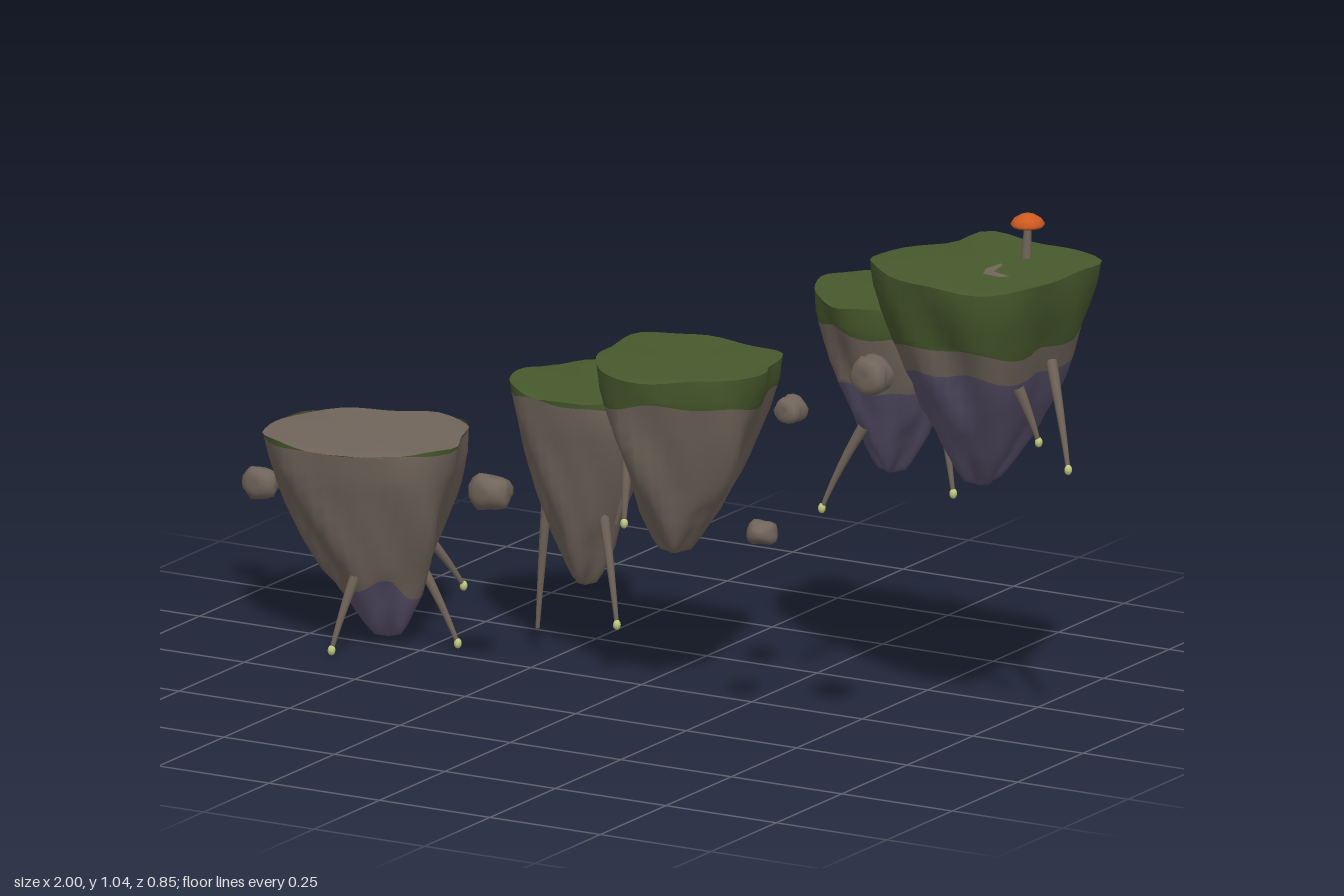
import * as THREE from 'three';
import { mergeVertices } from 'three/addons/utils/BufferGeometryUtils.js';

const mat = (name, color, side = THREE.FrontSide) => {
  const m = new THREE.MeshStandardMaterial({ color, side });
  m.name = name;
  return m;
};
const grass = mat('grass', 0x47592d);
const stone = mat('stone', 0x71655b);
const deepStone = mat('deepStone', 0x575069);
const root = mat('root', 0x6e6257);
const bud = mat('bud', 0xbfca80);
const orange = mat('orangeCap', 0xcc5a20);

function addMesh(parent, name, geometry, material, position) {
  const mesh = new THREE.Mesh(geometry, material);
  mesh.name = name;
  if (position) mesh.position.set(...position);
  parent.add(mesh);
  return mesh;
}

const SIDES = 44;
const PROFILE = [[0, 1], [0.1, 0.98], [0.25, 0.88], [0.4, 0.77], [0.5, 0.69], [0.65, 0.55],
  [0.78, 0.41], [0.9, 0.26], [0.96, 0.16], [1, 0.05]];
function profileAt(t) {
  const k = Math.max(1, PROFILE.findIndex(p => p[0] >= t));
  const [t0, r0] = PROFILE[k - 1], [t1, r1] = PROFILE[k];
  return r0 + (r1 - r0) * (t - t0) / (t1 - t0);
}

// Floating island: outline shrinking down to a tip, with wavy colour bands
function makeIsland({ outline, top, tip, grassTo, stoneTo, topMaterial, seed }) {
  const group = new THREE.Group();
  group.name = 'island';
  const curve = new THREE.CatmullRomCurve3(outline.map(([x, z]) => new THREE.Vector3(x, 0, z)), true);
  const rim = curve.getSpacedPoints(SIDES).slice(0, SIDES);
  const centre = rim.reduce((s, p) => s.add(p), new THREE.Vector3()).divideScalar(SIDES);
  const height = top - tip[1];
  const g = (top - grassTo) / height, s = (top - stoneTo) / height;
  const bands = [g, s].filter(t => t < 1);
  const levels = [0, 0.05, 0.12, 0.2, 0.28, 0.36, 0.44, 0.52, 0.6, 0.68, 0.76, 0.84, 0.9, 0.95, 1]
    .filter(t => t === 0 || t === 1 || bands.every(b => Math.abs(b - t) > 0.04))
    .concat(bands).sort((a, b) => a - b);

  const pos = [], index = [];
  const geometry = new THREE.BufferGeometry();
  levels.forEach((t, row) => {
    rim.forEach((p, i) => {
      const a = i / SIDES * Math.PI * 2;
      const wave = Math.sin(3 * a + seed * 2) + 0.7 * Math.sin(7 * a + seed * 5);
      const wobble = bands.includes(t) ? wave * Math.min(0.018, t * 0.3) : 0;
      const tt = t + wobble;
      const bump = Math.sin(Math.PI * Math.min(1, t)) *
        (0.06 * Math.sin(5 * a + seed + t * 5) + 0.04 * Math.sin(9 * a - seed * 3 + t * 9));
      const r = profileAt(tt) * (1 + bump);
      const slide = tt * tt;
      const ragged = t > 0.7 && t < 1 ? 0.014 * Math.sin(4 * a + seed * 3) : 0;
      pos.push(centre.x + (tip[0] - centre.x) * slide + (p.x - centre.x) * r,
        top - tt * height + ragged + (row ? 0 : 0.003 * wave - 0.004),
        centre.z + (tip[2] - centre.z) * slide + (p.z - centre.z) * r);
    });
  });
  for (let row = 0; row < levels.length - 1; row++) {
    const mid = (levels[row] + levels[row + 1]) / 2;
    geometry.addGroup(index.length, SIDES * 6, mid < g ? 0 : mid < s ? 1 : 2);
    for (let i = 0; i < SIDES; i++) {
      const j = (i + 1) % SIDES, a = row * SIDES, b = a + SIDES;
      index.push(a + i, a + j, b + j, a + i, b + j, b + i);
    }
  }
  // pointed underside
  const last = (levels.length - 1) * SIDES;
  geometry.addGroup(index.length, SIDES * 3, s < 1 ? 2 : 1);
  pos.push(tip[0], tip[1] - 0.003, tip[2]);
  for (let i = 0; i < SIDES; i++) index.push(last + i, last + (i + 1) % SIDES, last + SIDES);
  geometry.setAttribute('position', new THREE.Float32BufferAttribute(pos, 3));
  geometry.setIndex(index);
  geometry.computeVertexNormals();
  addMesh(group, 'islandSides', geometry, [grass, stone, deepStone]);

  // ground surface, sharing the rim line
  const cap = new THREE.BufferGeometry();
  const capPos = pos.slice(0, SIDES * 3), capIndex = [];
  for (let i = 0; i < SIDES; i++) {
    capPos.push(centre.x + (pos[i * 3] - centre.x) * 0.85, top - 0.002, centre.z + (pos[i * 3 + 2] - centre.z) * 0.85);
  }
  capPos.push(centre.x, top - 0.003, centre.z);
  for (let i = 0; i < SIDES; i++) {
    const j = (i + 1) % SIDES;
    capIndex.push(i, SIDES + i, j, j, SIDES + i, SIDES + j, SIDES * 2, SIDES + j, SIDES + i);
  }
  cap.setAttribute('position', new THREE.Float32BufferAttribute(capPos, 3));
  cap.setIndex(capIndex);
  cap.computeVertexNormals();
  addMesh(group, 'islandTop', cap, topMaterial);
  return group;
}

// Hanging root: tapered bent tube with a bud at its tip
function makeRoot([sx, sy, sz], [ex, ey, ez], withBud = true) {
  const group = new THREE.Group();
  group.name = 'hangingRoot';
  const curve = new THREE.QuadraticBezierCurve3(new THREE.Vector3(sx, sy, sz),
    new THREE.Vector3(sx + (ex - sx) * 0.6, (sy + ey) / 2, sz + (ez - sz) * 0.6), new THREE.Vector3(ex, ey, ez));
  const steps = 12, around = 8;
  const tube = new THREE.TubeGeometry(curve, steps, 0.012, around);
  const p = tube.attributes.position, v = new THREE.Vector3();
  for (let i = 0; i < p.count; i++) {
    const u = Math.floor(i / (around + 1)) / steps;
    const c = curve.getPointAt(u);
    v.fromBufferAttribute(p, i).sub(c).multiplyScalar(1 - 0.65 * u).add(c);
    p.setXYZ(i, v.x, v.y, v.z);
  }
  addMesh(group, 'rootStrand', tube, root);
  if (withBud) addMesh(group, 'rootBud', new THREE.SphereGeometry(0.008, 8, 6), bud, [ex, ey, ez]).scale.y = 1.3;
  return group;
}

// Loose rock: a ball flattened and dented by waves
function makeRock([x, y, z], [rx, ry, rz], seed) {
  const raw = new THREE.IcosahedronGeometry(1, 2);
  raw.deleteAttribute('normal');
  raw.deleteAttribute('uv');
  const geometry = mergeVertices(raw, 1e-4);
  const p = geometry.attributes.position, v = new THREE.Vector3();
  for (let i = 0; i < p.count; i++) {
    v.fromBufferAttribute(p, i);
    const k = 0.97 + 0.1 * Math.sin(4 * v.x + seed) * Math.cos(3 * v.y - seed) + 0.09 * Math.sin(5 * v.z + seed * 2);
    const box = 0.85 / Math.max(Math.abs(v.x), Math.abs(v.y), Math.abs(v.z), 0.75);
    v.multiplyScalar(k * Math.min(1, box));
    p.setXYZ(i, v.x * rx, v.y * ry, v.z * rz);
  }
  geometry.computeVertexNormals();
  const rock = new THREE.Mesh(geometry, stone);
  rock.name = 'floatingRock';
  rock.position.set(x, y, z);
  return rock;
}

export function createModel() {
  const model = new THREE.Group();
  model.name = 'floatingIslands';

  // Five islands rising to the left
  [
    { outline: [[-0.66, -0.18], [-0.58, -0.21], [-0.5, -0.18], [-0.45, -0.07], [-0.42, 0.02], [-0.55, 0.15],
      [-0.72, 0.15], [-0.81, 0.08], [-0.81, -0.1]], top: 0.43, tip: [-0.59, 0.02, -0.03], grassTo: 0.423, stoneTo: 0.13, topMaterial: stone },
    { outline: [[-0.35, -0.21], [-0.27, -0.3], [-0.155, -0.31], [-0.11, -0.24], [-0.055, -0.13], [-0.1, -0.01],
      [-0.21, 0.01], [-0.315, -0.04], [-0.365, -0.13]], top: 0.56, tip: [-0.21, 0.15, -0.14], grassTo: 0.545, stoneTo: 0, topMaterial: grass },
    { outline: [[-0.05, -0.09], [0.14, -0.12], [0.26, -0.1], [0.29, 0], [0.32, 0.08], [0.22, 0.18],
      [0.085, 0.24], [-0.02, 0.14], [-0.055, 0.03]], top: 0.695, tip: [0.11, 0.305, 0.06], grassTo: 0.63, stoneTo: 0, topMaterial: grass },
    { outline: [[0.3, -0.18], [0.33, -0.28], [0.46, -0.31], [0.59, -0.28], [0.62, -0.21], [0.59, -0.08],
      [0.46, -0.01], [0.35, -0.08]], top: 0.83, tip: [0.46, 0.46, -0.18], grassTo: 0.77, stoneTo: 0.65, topMaterial: grass },
    { outline: [[0.56, -0.01], [0.63, -0.13], [0.65, -0.21], [0.78, -0.195], [0.94, -0.17], [0.96, -0.1],
      [0.94, 0.14], [0.89, 0.19], [0.67, 0.17], [0.56, 0.07]], top: 0.965, tip: [0.76, 0.515, -0.015], grassTo: 0.82, stoneTo: 0.765, topMaterial: grass },
  ].forEach((island, i) => model.add(makeIsland({ ...island, seed: i + 1 })));

  // Hanging roots
  [
    [[-0.53, 0.19, -0.03], [-0.445, 0.018, -0.05]],
    [[-0.6, 0.18, 0.065], [-0.63, 0.018, 0.12]],
    [[-0.55, 0.22, -0.09], [-0.5, 0.1, -0.165]],
    [[-0.27, 0.35, -0.1], [-0.3, 0.055, -0.11], false],
    [[-0.15, 0.34, -0.1], [-0.085, 0.105, -0.05]],
    [[-0.14, 0.37, -0.2], [-0.075, 0.225, -0.245]],
    [[0.02, 0.5, 0.03], [-0.045, 0.33, 0.02], false],
    [[0.04, 0.5, 0.12], [0.05, 0.375, 0.15]],
    [[0.57, 0.66, -0.165], [0.62, 0.445, -0.145]],
    [[0.45, 0.57, -0.09], [0.37, 0.4, -0.065]],
    [[0.91, 0.78, -0.03], [0.99, 0.587, 0.04]],
    [[0.9, 0.75, 0.08], [0.935, 0.64, 0.06]],
  ].forEach(args => model.add(makeRoot(...args)));

  // Loose rocks
  [
    [[-0.965, 0.24, -0.18], [0.04, 0.034, 0.032]],
    [[-0.715, 0.215, -0.34], [0.034, 0.024, 0.036]],
    [[-0.235, 0.405, 0.175], [0.048, 0.038, 0.042]],
    [[0.265, 0.67, -0.39], [0.049, 0.028, 0.038]],
    [[0.58, 0.62, -0.375], [0.034, 0.032, 0.035]],
    [[0.405, 0.645, 0.112], [0.031, 0.03, 0.032]],
    [[0.385, 0.412, 0.188], [0.034, 0.026, 0.04]],
    [[0.755, 0.828, 0.392], [0.042, 0.043, 0.036]],
  ].forEach(([at, size], i) => model.add(makeRock(at, size, i * 1.7)));

  // Mushroom on the highest island
  const mushroom = new THREE.Group();
  mushroom.name = 'mushroom';
  mushroom.position.set(0.82, 0.96, -0.092);
  const stem = addMesh(mushroom, 'mushroomStem', new THREE.CylinderGeometry(0.007, 0.011, 0.075, 10), root, [0, 0.034, 0.002]);
  stem.rotation.x = -0.08;
  const capProfile = [[0.001, 0.066], [0.03, 0.064], [0.034, 0.07], [0.027, 0.08], [0.014, 0.088], [0.001, 0.09]];
  addMesh(mushroom, 'mushroomCap', new THREE.LatheGeometry(capProfile.map(q => new THREE.Vector2(...q)), 14), orange);
  model.add(mushroom);

  // Bare stone patch in the grass of the highest island
  const patch = new THREE.Shape([[-0.02, 0.05], [-0.01, 0.04], [0, -0.01], [0.045, -0.025], [0.03, -0.04], [-0.01, -0.035], [-0.025, 0]]
    .map(q => new THREE.Vector2(...q)).reverse());
  const bare = addMesh(model, 'barePatch', new THREE.ShapeGeometry(patch), stone, [0.825, 0.9655, 0.035]);
  bare.rotation.x = -Math.PI / 2;
  return model;
}
